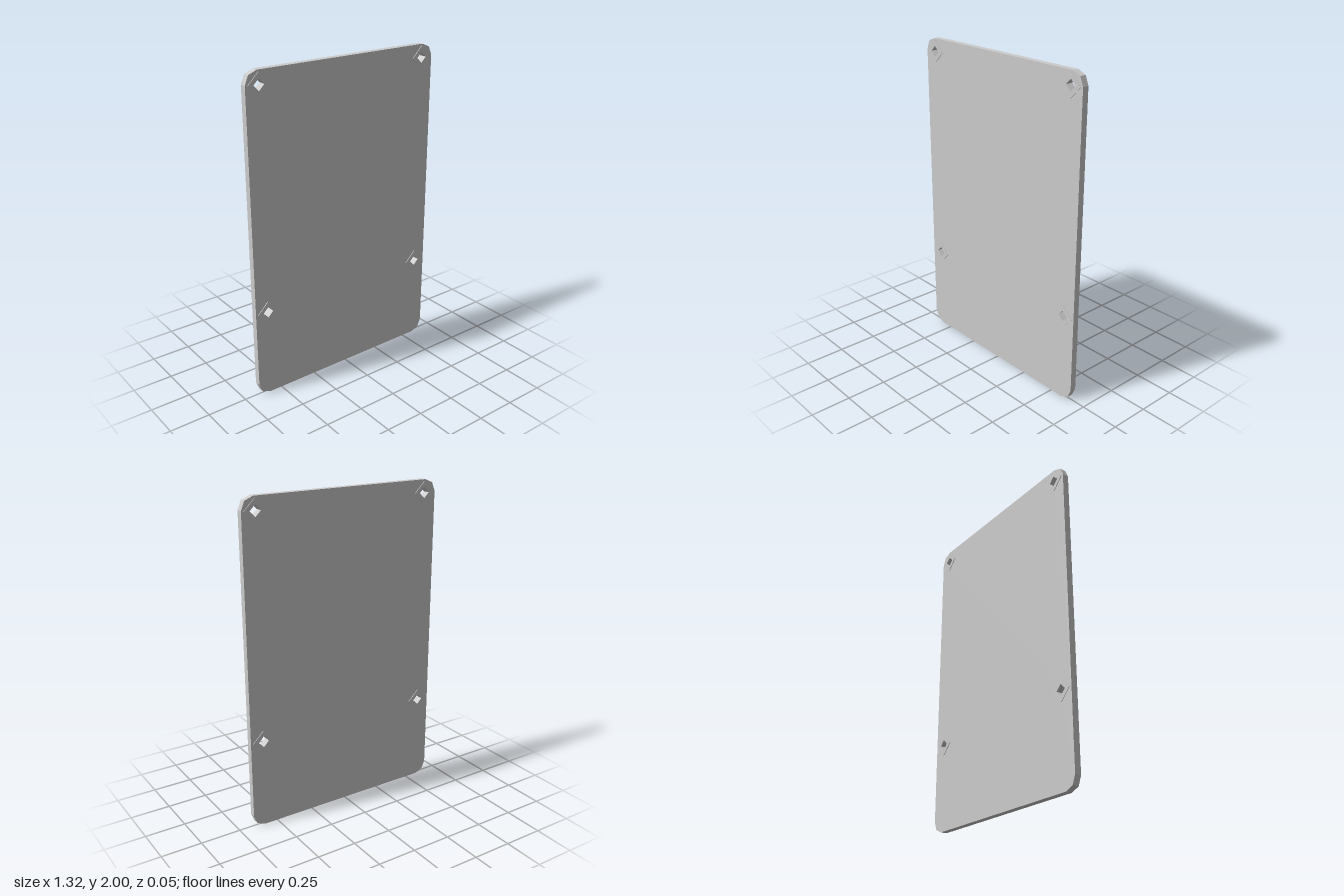
import * as THREE from 'three';

const material = new THREE.MeshStandardMaterial({ color: 0xcccccc, flatShading: true });
const HALF_W = 0.66, HEIGHT = 2, CORNER = 0.075;
const HOLE_R = 0.034, COLLAR_R = 0.07;

// Diamond outline with its points on the axes
function diamond(PathType, x, y, r) {
  const points = [[r, 0], [0, r], [-r, 0], [0, -r]];
  return new PathType(points.map(([dx, dy]) => new THREE.Vector2(x + dx, y + dy)));
}

// Flat extrusion centred on z = 0
function slab(shape, thickness, name) {
  const geometry = new THREE.ExtrudeGeometry(shape, { depth: thickness, bevelEnabled: false });
  geometry.translate(0, 0, -thickness / 2);
  const mesh = new THREE.Mesh(geometry, material);
  mesh.name = name;
  return mesh;
}

// Rectangle whose corners are cut in two facets
function panelShape() {
  const points = [];
  const corners = [[1, 1], [-1, 1], [-1, -1], [1, -1]];
  corners.forEach(([sx, sy], i) => {
    for (let k = 0; k <= 2; k++) {
      const a = (i + k / 2) * Math.PI / 2;
      points.push(new THREE.Vector2(
        sx * (HALF_W - CORNER) + CORNER * Math.cos(a),
        HEIGHT / 2 + sy * (HEIGHT / 2 - CORNER) + CORNER * Math.sin(a)));
    }
  });
  return new THREE.Shape(points);
}

export function createModel() {
  const group = new THREE.Group();
  group.name = 'signPanel';
  const shape = panelShape();

  // Mounting holes, each lined by a slightly raised collar
  for (const [row, y] of [['upper', 1.92], ['lower', 0.556]]) {
    for (const [side, x] of [['Left', 0.577], ['Right', -0.577]]) {
      shape.holes.push(diamond(THREE.Path, x, y, HOLE_R));
      const ring = diamond(THREE.Shape, x, y, COLLAR_R);
      ring.holes.push(diamond(THREE.Path, x, y, HOLE_R));
      group.add(slab(ring, 0.048, row + side + 'Collar'));
    }
  }

  group.add(slab(shape, 0.04, 'panel'));
  return group;
}
